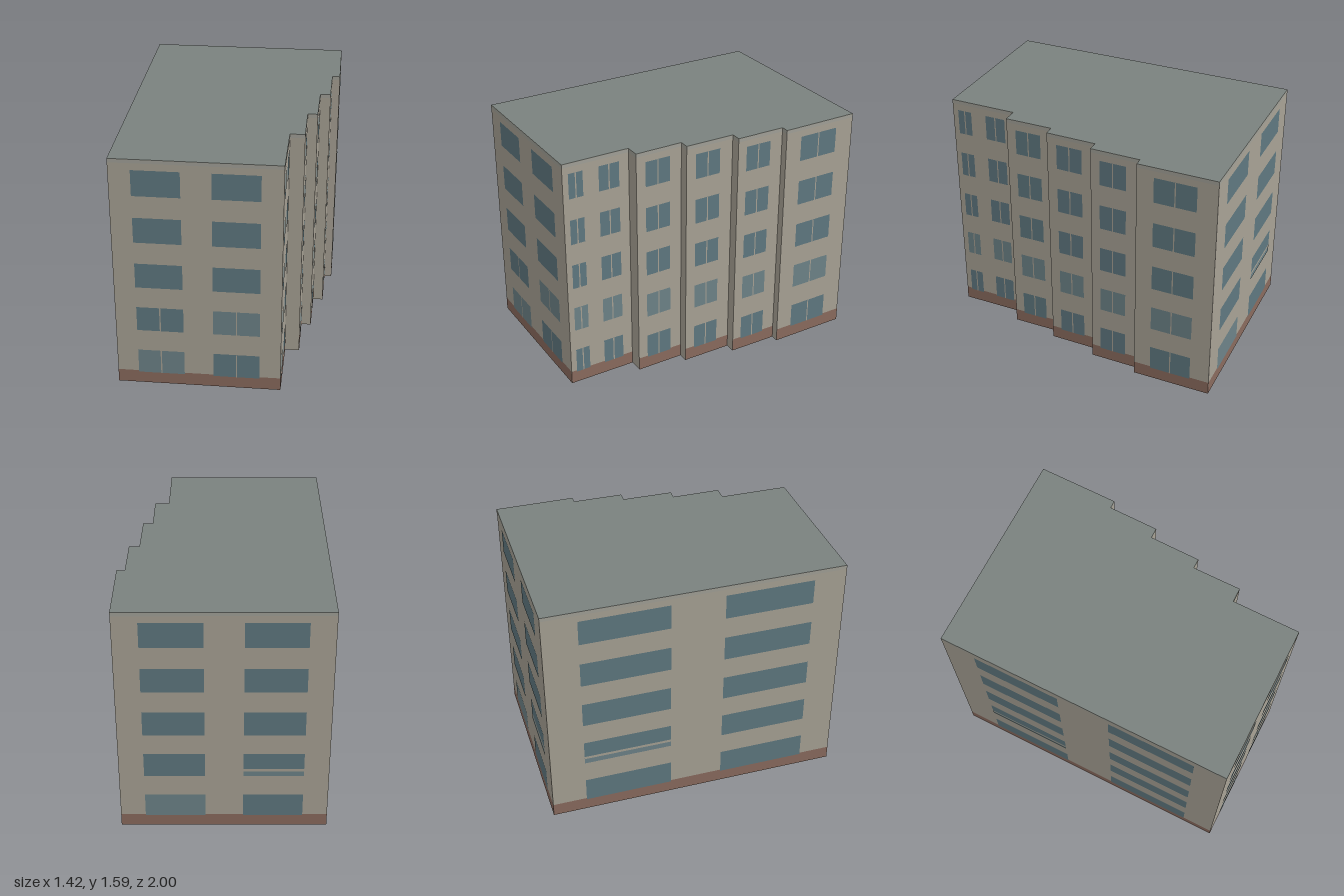
import * as THREE from 'three';

const paint = (color, side = THREE.FrontSide) => new THREE.MeshStandardMaterial({ color, side });

const H = 1.59;                                   // roof height
const ROWS = [0.08, 0.4, 0.715, 1.033, 1.35];     // window sill heights
const WIN_H = 0.171;

// Footprint corners [x, z], counter-clockwise seen from above, starting at the front wall
const PLAN = [
  [-0.71, 0.95], [0.333, 0.996], [0.355, 0.546], [0.449, 0.55], [0.463, 0.231], [0.527, 0.234],
  [0.546, -0.099], [0.613, -0.096], [0.631, -0.424], [0.682, -0.421], [0.706, -0.941], [-0.62, -1],
];

// Windows per wall: [start, end] as fractions of the wall; mullioned rows; row with paler glass; slatted row
const ALL = [0, 1, 2, 3, 4];
const win = (t0, t1, mullions = [], pale = -1, slat = -1) => ({ t0, t1, mullions, pale, slat });
const WINDOWS = {
  0: [win(0.129, 0.412, [0, 1], 0), win(0.59, 0.872, [0, 1], 1)],
  1: [win(0.085, 0.3, ALL, 1), win(0.538, 0.848, ALL, 1)],
  3: [win(0.2, 0.746, ALL, 1)],
  5: [win(0.2, 0.723, ALL, 1)],
  7: [win(0.186, 0.728, ALL, 1)],
  9: [win(0.217, 0.749, ALL, 1)],
  10: [win(0.12, 0.41, [], 0), win(0.592, 0.88, [], -1, 1)],
  11: [win(0.116, 0.414, [], -1, 1), win(0.594, 0.892)],
};

export function createModel() {
  const model = new THREE.Group();
  const wallMat = paint(0xa8a295, THREE.DoubleSide);
  const trimMat = paint(0xa2a198);
  const frameMat = paint(0xa8a295);
  const plinthMat = paint(0x8a6b5e);
  const glassMat = paint(0x5f7880);
  const paleMat = paint(0x6d8388);
  const roofMat = paint(0x7a827e, THREE.DoubleSide);

  PLAN.forEach((a, i) => {
    const b = PLAN[(i + 1) % PLAN.length];
    const dx = b[0] - a[0], dz = b[1] - a[1], len = Math.hypot(dx, dz);
    const wall = new THREE.Group();
    wall.name = `facade${i + 1}`;
    wall.position.set(a[0], 0, a[1]);
    wall.rotation.y = Math.atan2(-dz, dx);
    model.add(wall);

    // Flat panel in wall coordinates, lifted slightly off the wall
    const panel = (name, x0, x1, y0, y1, lift, mat) => {
      const mesh = new THREE.Mesh(new THREE.PlaneGeometry(x1 - x0, y1 - y0), mat);
      mesh.name = name;
      mesh.position.set((x0 + x1) / 2, (y0 + y1) / 2, lift);
      wall.add(mesh);
    };

    panel('wall', 0, len, 0, H, 0, wallMat);
    panel('roofTrim', 0, len, H - 0.025, H, 0.001, trimMat);

    // Narrow step returns have neither plinth nor windows
    if (!WINDOWS[i]) return;
    panel('plinth', 0, len, 0, 0.09, 0.001, plinthMat);

    for (const w of WINDOWS[i]) {
      const x0 = w.t0 * len, x1 = w.t1 * len, mid = (x0 + x1) / 2;
      ROWS.forEach((y, row) => {
        panel('window', x0, x1, y, y + WIN_H, 0.002, row === w.pale ? paleMat : glassMat);
        if (w.mullions.includes(row)) panel('mullion', mid - 0.004, mid + 0.004, y, y + WIN_H, 0.003, frameMat);
        if (row === w.slat) {
          panel('transom', x0, x1, y + 0.037, y + 0.055, 0.003, frameMat);
          panel('lowerPane', x0, x1, y, y + 0.037, 0.003, paleMat);
        }
      });
    }
  });

  // Flat roof over the stepped plan; the underside of the building stays open
  const shape = new THREE.Shape(PLAN.map(([x, z]) => new THREE.Vector2(x, -z)));
  const roof = new THREE.Mesh(new THREE.ShapeGeometry(shape).rotateX(-Math.PI / 2), roofMat);
  roof.name = 'roof';
  roof.position.y = H;
  model.add(roof);

  return model;
}
